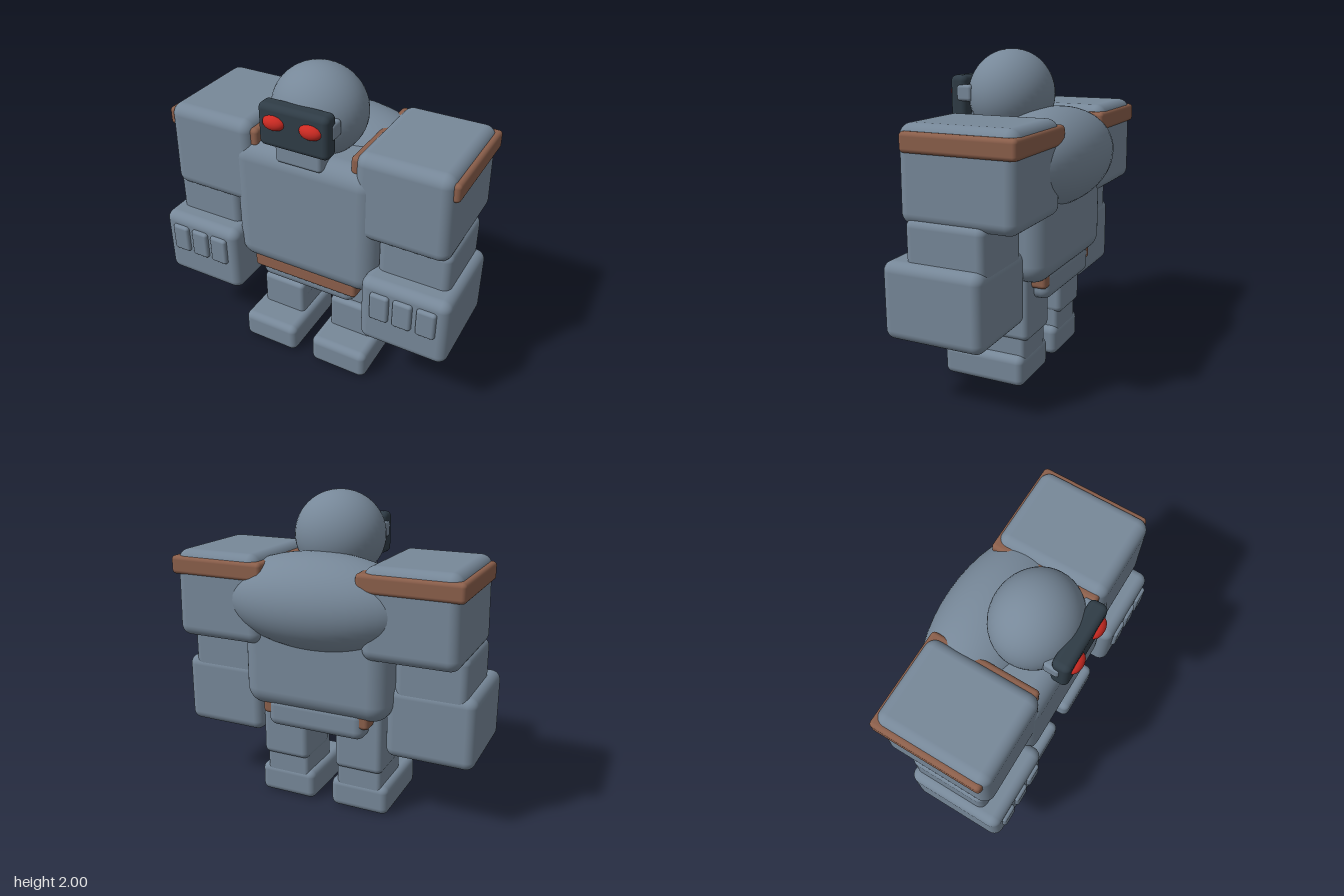
import * as THREE from 'three';
import { RoundedBoxGeometry } from 'three/addons/geometries/RoundedBoxGeometry.js';

const mat = (name, color) => {
  const m = new THREE.MeshStandardMaterial({ color });
  m.name = name;
  return m;
};

export function createModel() {
  const group = new THREE.Group();
  const steel = mat('steel', 0x778899);
  const leather = mat('brownTrim', 0x8b5f4b);
  const dark = mat('darkVisor', 0x2f3c46);
  const red = mat('redEye', 0xcc2a22);

  // Rounded box given by its limits on each axis
  function box(name, [x0, x1], [y0, y1], [z0, z1], radius, material = steel) {
    const mesh = new THREE.Mesh(new RoundedBoxGeometry(x1 - x0, y1 - y0, z1 - z0, 5, radius), material);
    mesh.position.set((x0 + x1) / 2, (y0 + y1) / 2, (z0 + z1) / 2);
    mesh.name = name;
    group.add(mesh);
    return mesh;
  }

  // Sphere stretched to three radii
  function ellipsoid(name, center, radii, material = steel) {
    const mesh = new THREE.Mesh(new THREE.SphereGeometry(1, 40, 28), material);
    mesh.position.set(...center);
    mesh.scale.set(...radii);
    mesh.name = name;
    group.add(mesh);
    return mesh;
  }

  // Body
  box('torso', [-0.485, 0.485], [0.67, 1.525], [-0.31, 0.38], 0.12);
  ellipsoid('backHump', [0, 1.36, -0.15], [0.64, 0.3, 0.325]);
  box('belt', [-0.36, 0.36], [0.62, 0.73], [-0.265, 0.355], 0.025, leather);
  box('pelvis', [-0.33, 0.33], [0.54, 0.74], [-0.275, 0.335], 0.06);

  // Head
  ellipsoid('head', [0, 1.727, 0.125], [0.287, 0.273, 0.262]);
  box('visor', [-0.22, 0.22], [1.585, 1.845], [0.33, 0.44], 0.035, dark);
  box('jaw', [-0.15, 0.15], [1.465, 1.63], [0.15, 0.39], 0.025);

  for (const s of [1, -1]) {
    const side = s > 0 ? 'left' : 'right';
    // Mirror an x range to this side
    const mx = (a, b) => (s > 0 ? [a, b] : [-b, -a]);

    ellipsoid(side + 'Eye', [s * 0.115, 1.745, 0.43], [0.07, 0.046, 0.045], red);
    box(side + 'VisorHinge', mx(0.15, 0.228), [1.69, 1.79], [0.29, 0.39], 0.02);

    // Shoulder block, slightly narrower at the top
    const shoulder = box(side + 'Shoulder', mx(0.325, 0.92), [1.085, 1.64], [-0.35, 0.367], 0.07);
    const p = shoulder.geometry.attributes.position;
    for (let i = 0; i < p.count; i++) {
      const k = 1 - 0.04 * (p.getY(i) / 0.555 + 0.5);
      p.setX(i, p.getX(i) * k);
    }
    box(side + 'ShoulderTrim', mx(0.302, 0.935), [1.485, 1.6], [-0.36, 0.335], 0.025, leather);

    // Arm
    box(side + 'Forearm', mx(0.48, 0.93), [0.62, 1.13], [-0.17, 0.325], 0.05);
    box(side + 'Fist', mx(0.43, 0.988), [0.43, 0.888], [-0.175, 0.45], 0.06);
    for (const x of [0.565, 0.71, 0.857]) {
      box(side + 'Knuckle', mx(x - 0.06, x + 0.06), [0.632, 0.82], [0.4, 0.473], 0.02);
    }

    // Leg
    box(side + 'Thigh', mx(0.095, 0.417), [0.29, 0.72], [-0.175, 0.16], 0.04);
    box(side + 'Shin', mx(0.102, 0.405), [0.1, 0.42], [-0.147, 0.2], 0.03);
    box(side + 'Foot', mx(0.06, 0.45), [0, 0.195], [-0.152, 0.39], 0.045);
  }
  return group;
}
